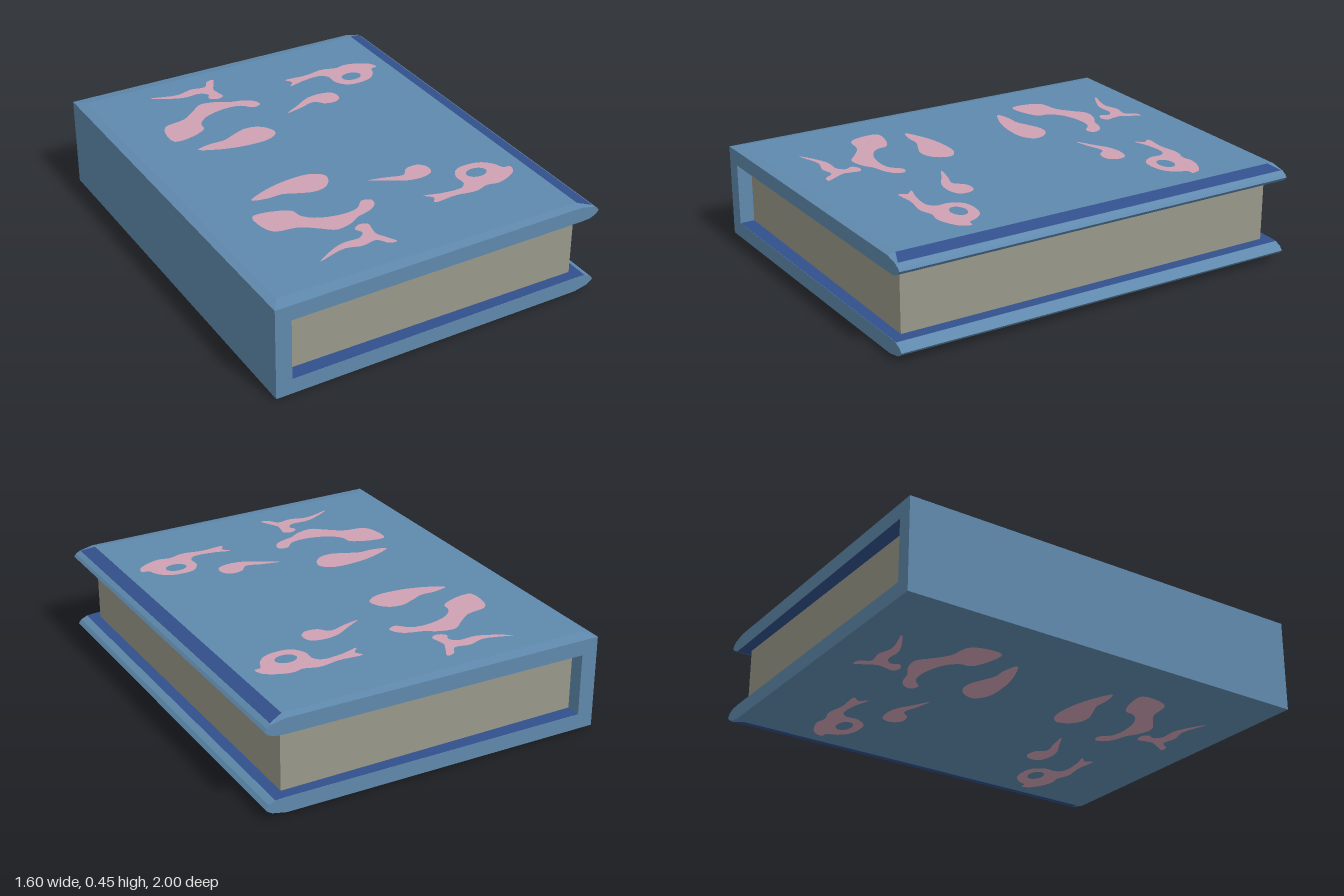
import * as THREE from 'three';

const MID = 0.2265; // height of the mirror plane between the two boards

// Flat-sided surface from quads (corners anticlockwise from outside); flip mirrors it to the lower board
function quads(list, flip) {
  const pos = [];
  for (const q of list) {
    const p = q.map(([x, y, z]) => [x, flip ? 2 * MID - y : y, z]);
    if (flip) p.reverse();
    for (const i of [0, 1, 2, 0, 2, 3]) pos.push(...p[i]);
  }
  const g = new THREE.BufferGeometry();
  g.setAttribute('position', new THREE.Float32BufferAttribute(pos, 3));
  g.computeVertexNormals();
  return g;
}

// Blotch outlines as [x, z] on the front half of the board
const BLOTCHES = [
  [[-.5, .24], [-.4, .19], [-.28, .165], [-.17, .17], [-.12, .21], [-.13, .26], [-.17, .3], [-.23, .31], [-.3, .285], [-.36, .26], [-.43, .26]],
  [[-.56, .36], [-.5, .355], [-.39, .4], [-.38, .45], [-.33, .5], [-.22, .53], [-.14, .52], [-.09, .475], [-.05, .49], [-.06, .53],
    [-.1, .56], [-.17, .58], [-.22, .61], [-.3, .625], [-.36, .58], [-.43, .53], [-.53, .51], [-.56, .46]],
  [[-.48, .8], [-.4, .75], [-.33, .725], [-.25, .725], [-.22, .695], [-.235, .66], [-.2, .635], [-.165, .65], [-.17, .69],
    [-.175, .73], [-.15, .78], [-.13, .825], [-.165, .82], [-.2, .775], [-.27, .785], [-.35, .765]],
  [[.02, .345], [.1, .36], [.18, .38], [.22, .34], [.28, .335], [.31, .37], [.3, .42], [.24, .44], [.17, .43], [.09, .385]],
  [[.16, .575], [.24, .595], [.34, .6], [.37, .57], [.37, .51], [.41, .455], [.48, .445], [.54, .46], [.58, .5], [.6, .545], [.63, .55],
    [.62, .59], [.57, .625], [.5, .645], [.45, .635], [.38, .655], [.28, .64], [.17, .645], [.19, .61]],
];

export function createModel() {
  const book = new THREE.Group();
  book.name = 'book';
  const mat = (name, color) => Object.assign(new THREE.MeshStandardMaterial({ color }), { name });
  const blue = mat('cover blue', 0x5f89ad);
  const navy = mat('trim navy', 0x32508c);
  const pink = mat('blotch pink', 0xcfa2b4);
  const cream = mat('page grey', 0x98998a);
  const add = (name, geo, material) => {
    const m = new THREE.Mesh(geo, material);
    m.name = name;
    book.add(m);
    return m;
  };

  // Cover: C-shaped profile run along z, slightly narrower at the fore edge
  const upper = [[-.8, .441], [.7, .441], [.765, .427], [.785, .415], [.795, .403], [.78, .386], [.75, .373], [.7, .37], [-.725, .37]];
  const lower = upper.map(([x, y]) => [x, 2 * MID - y]).reverse();
  const profile = new THREE.Shape([...upper, ...lower].map(([x, y]) => new THREE.Vector2(x, y)));
  const cover = new THREE.ExtrudeGeometry(profile, { depth: 2, bevelEnabled: false }).translate(0, 0, -1);
  const edgeZ = (x) => 1 - 0.02 * (x + 0.8) / 1.595;
  const p = cover.attributes.position;
  for (let i = 0; i < p.count; i++) p.setZ(i, p.getZ(i) * edgeZ(p.getX(i)));
  cover.computeVertexNormals();
  add('cover', cover, blue);

  // Page block
  add('pages', new THREE.BoxGeometry(1.425, 0.284, 1.86).translate(-0.0125, MID, 0), cream);

  for (const flip of [false, true]) {
    const side = flip ? 'lower' : 'upper';

    // Shallow sloped panel on the outside of each board
    const zs = edgeZ(-.8), zf = edgeZ(.7), ze = edgeZ(.765);
    const panel = [
      [[-.76, .45, .94], [.7, .447, .945], [.7, .447, -.945], [-.76, .45, -.94]],
      [[-.8, .441, zs], [.7, .441, zf], [.7, .447, .945], [-.76, .45, .94]],
      [[-.76, .45, -.94], [.7, .447, -.945], [.7, .441, -zf], [-.8, .441, -zs]],
      [[-.8, .441, -zs], [-.8, .441, zs], [-.76, .45, .94], [-.76, .45, -.94]],
      [[.7, .441, zf], [.765, .427, ze], [.765, .43, .97], [.7, .447, .945]],
      [[.7, .447, -.945], [.765, .43, -.97], [.765, .427, -ze], [.7, .441, -zf]],
    ];
    add(side + 'Panel', quads(panel, flip), blue);

    // Dark bevel along the fore edge
    const strip = [[[.7, .447, .945], [.765, .43, .97], [.765, .43, -.97], [.7, .447, -.945]]];
    add(side + 'EdgeStrip', quads(strip, flip), navy);

    // Dark lining facing the pages
    const lining = [
      [[-.725, .369, -.999], [.7, .369, -.981], [.7, .369, .981], [-.725, .369, .999]],
      [[.7, .369, -.981], [.75, .372, -.98], [.75, .372, .98], [.7, .369, .981]],
    ];
    add(side + 'Lining', quads(lining, flip), navy);

    // Painted blotches, mirrored front to back
    for (const half of [1, -1]) {
      for (const outline of BLOTCHES) {
        const place = ([x, z]) => {
          const wz = half > 0 ? z : -z - 0.03;
          return new THREE.Vector3(x, flip ? wz : -wz, 0);
        };
        const curve = new THREE.CatmullRomCurve3(outline.map(place), true);
        const shape = new THREE.Shape(curve.getPoints(60).slice(0, 60).map((v) => new THREE.Vector2(v.x, v.y)));
        if (outline === BLOTCHES[4]) {
          const c = place([.47, .522]);
          shape.holes.push(new THREE.Path().absellipse(c.x, c.y, .05, .036, 0, Math.PI * 2));
        }
        const geo = new THREE.ShapeGeometry(shape).rotateX(flip ? Math.PI / 2 : -Math.PI / 2);
        add(side + 'Blotch', geo.translate(0, flip ? 2 * MID - .452 : .452, 0), pink);
      }
    }
  }
  return book;
}
